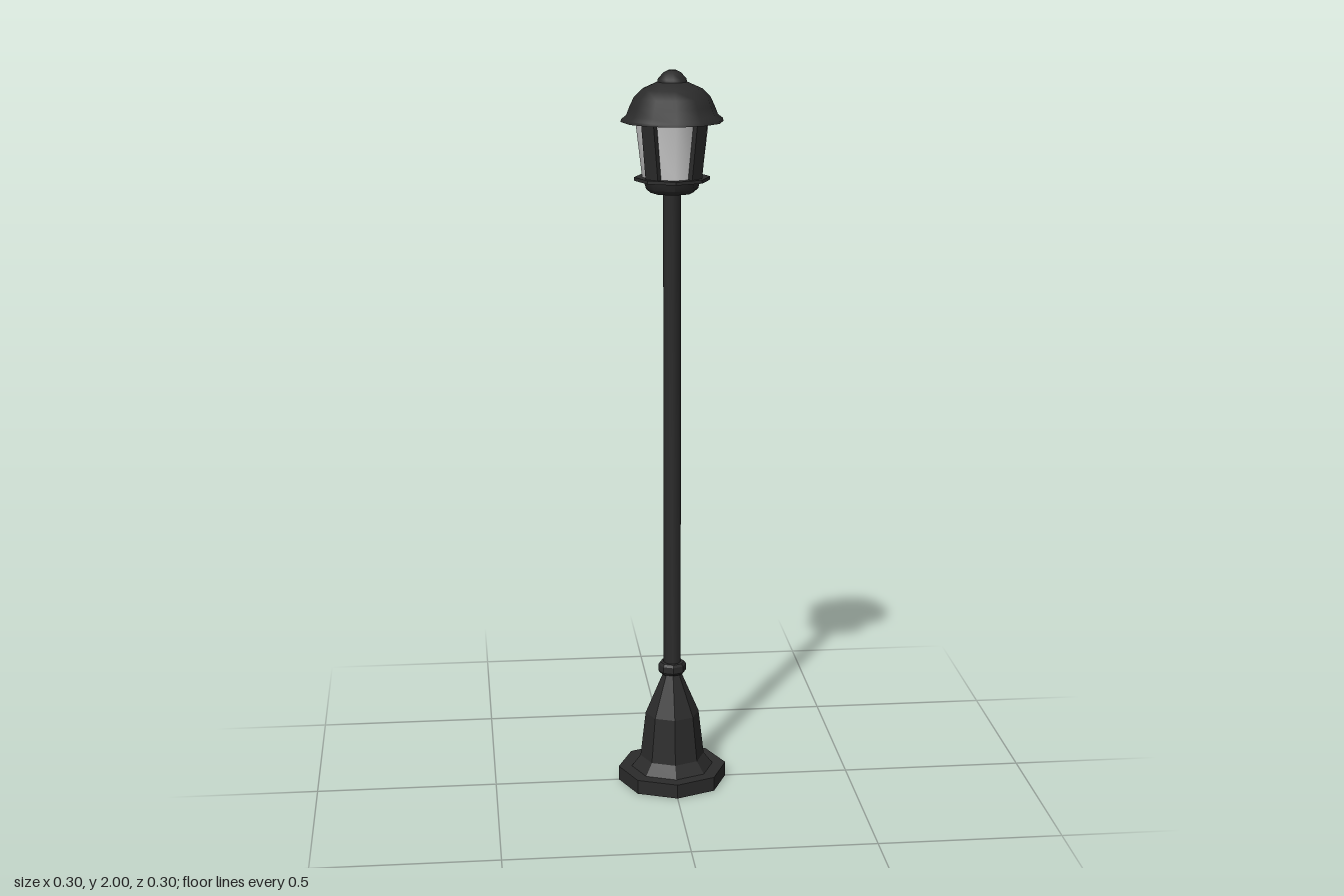
import * as THREE from 'three';
import { toCreasedNormals } from 'three/addons/utils/BufferGeometryUtils.js';

const iron = new THREE.MeshStandardMaterial({ color: 0x2b2b2b, side: THREE.DoubleSide });
const ironFlat = new THREE.MeshStandardMaterial({ color: 0x2b2b2b, side: THREE.DoubleSide, flatShading: true });
const glass = new THREE.MeshStandardMaterial({ color: 0xcccccc, side: THREE.DoubleSide });

// Turned part from [radius, height] pairs
function turned(name, profile, sides, material, crease) {
  const points = profile.map(([r, y]) => new THREE.Vector2(r, y));
  let geometry = new THREE.LatheGeometry(points, sides);
  if (crease) geometry = toCreasedNormals(geometry, crease);
  const mesh = new THREE.Mesh(geometry, material);
  mesh.name = name;
  return mesh;
}

export function createModel() {
  const lamp = new THREE.Group();
  lamp.name = 'streetLamp';

  // Hollow octagonal foot and its tapering shaft
  lamp.add(turned('base', [
    [0.152, 0], [0.152, 0.04], [0.115, 0.04], [0.09, 0.072],
    [0.075, 0.2], [0.022, 0.325],
  ], 8, ironFlat));

  // Collar and pole
  lamp.add(turned('collar', [
    [0.022, 0.318], [0.034, 0.318], [0.039, 0.325], [0.039, 0.343], [0.034, 0.35], [0.022, 0.35],
  ], 8, ironFlat));
  lamp.add(turned('pole', [[0.024, 0.32], [0.024, 1.69]], 8, iron, 0.9));

  const lantern = new THREE.Group();
  lantern.name = 'lantern';
  lamp.add(lantern);

  // Cup under the lantern and the thin ledge above it
  lantern.add(turned('lanternCup', [
    [0, 1.675], [0.058, 1.675], [0.07, 1.686], [0.076, 1.708],
  ], 8, iron, 0.8));
  lantern.add(turned('lanternLedge', [
    [0.07, 1.708], [0.102, 1.708], [0.102, 1.717], [0, 1.717],
  ], 8, ironFlat));

  // Flaring glass
  const bottom = { r: 0.08, y: 1.715 };
  const top = { r: 0.098, y: 1.868 };
  lantern.add(turned('glass', [[bottom.r, bottom.y], [top.r, top.y]], 8, glass, 0.9));

  // Four corner bars leaning with the glass
  const height = top.y - bottom.y;
  const lean = Math.atan2(top.r - bottom.r, height);
  for (let i = 0; i < 4; i++) {
    const holder = new THREE.Group();
    holder.name = 'cornerBar';
    holder.rotation.y = Math.PI / 4 + i * Math.PI / 2;
    const bar = new THREE.Mesh(new THREE.BoxGeometry(0.042, height, 0.02), ironFlat);
    bar.name = 'bar';
    bar.position.set(0, (top.y + bottom.y) / 2, (top.r + bottom.r) / 2 - 0.005);
    bar.rotation.x = lean;
    holder.add(bar);
    lantern.add(holder);
  }

  // Domed roof with flared eave, and its cap
  lantern.add(turned('roof', [
    [0.09, 1.866], [0.137, 1.864], [0.135, 1.872], [0.122, 1.882],
    [0.113, 1.905], [0.102, 1.928], [0.08, 1.95], [0.04, 1.968], [0, 1.972],
  ], 12, iron, 0.9));
  lantern.add(turned('roofCap', [
    [0.04, 1.966], [0.038, 1.976], [0.024, 1.992], [0.01, 1.999], [0, 2],
  ], 12, iron, 0.9));

  return lamp;
}
